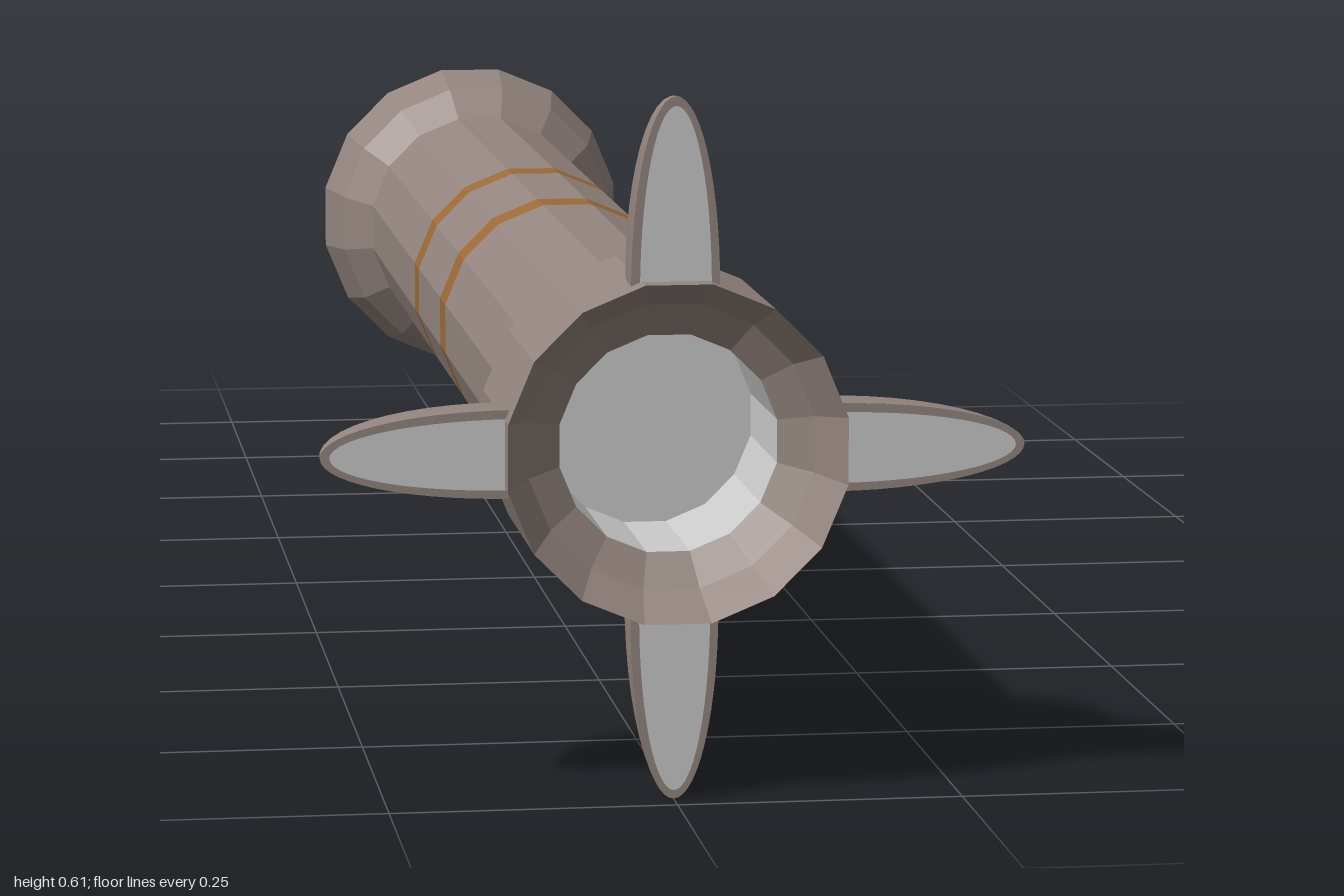
import * as THREE from 'three';

const AXIS_Y = 0.306; // height of the rocket's long axis
const SIDES = 16;

const brown = new THREE.MeshStandardMaterial({ color: 0x94857f, flatShading: true });
const brownSmooth = new THREE.MeshStandardMaterial({ color: 0x94857f });
const orange = new THREE.MeshStandardMaterial({ color: 0x9c6a36, flatShading: true });
const grey = new THREE.MeshStandardMaterial({ color: 0xcccccc, flatShading: true });

// Sixteen-sided turned part along z, from [radius, z] pairs
function turned(name, profile, material) {
  const points = profile.map(([r, z]) => new THREE.Vector2(r, z));
  const geometry = new THREE.LatheGeometry(points, SIDES, Math.PI / SIDES);
  geometry.rotateX(Math.PI / 2);
  const mesh = new THREE.Mesh(geometry, material);
  mesh.name = name;
  return mesh;
}

// Quarter-ellipsoid fin pointing up, with a flat trailing face
function makeFin(name) {
  const fin = new THREE.Group();
  fin.name = name;
  const base = 0.14, z = 0.977, width = 0.0385, height = 0.166, depth = 0.145;

  const shell = new THREE.SphereGeometry(1, 24, 12, Math.PI, Math.PI, 0, Math.PI / 2);
  shell.scale(width, height, depth).translate(0, base, z);
  const rim = new THREE.CircleGeometry(1, 28, 0, Math.PI);
  rim.scale(width, height, 1).translate(0, base, z);
  const face = new THREE.CircleGeometry(1, 28, 0, Math.PI);
  face.scale(0.031, 0.158, 1).translate(0, base, z + 0.002);

  const parts = [['finShell', shell, brownSmooth], ['finRim', rim, brown], ['finFace', face, grey]];
  for (const [partName, geometry, material] of parts) {
    const mesh = new THREE.Mesh(geometry, material);
    mesh.name = partName;
    fin.add(mesh);
  }
  return fin;
}

export function createModel() {
  const model = new THREE.Group();
  model.name = 'rocket';
  const R = 0.124;

  // Blunt nose, flared shoulder and front tube
  model.add(turned('noseAndFrontTube', [
    [0, -1], [0.049, -1], [0.17, -0.6], [0.154, -0.535], [R, -0.5], [R, -0.033],
  ], brown));

  // Painted bands and the tube between them
  model.add(turned('frontBand', [[R, -0.033], [R, 0.01]], orange));
  model.add(turned('middleTube', [[R, 0.01], [R, 0.217]], brown));
  model.add(turned('rearBand', [[R, 0.217], [R, 0.264]], orange));

  // Rear tube widening into the engine section, with a recessed rim
  model.add(turned('rearTubeAndEngine', [
    [R, 0.264], [R, 0.775], [0.15, 0.815], [0.15, 1], [0.127, 0.96], [0.097, 0.94],
  ], brown));

  // Exhaust bore
  model.add(turned('exhaustBore', [[0.097, 0.94], [0.097, 0.8], [0, 0.8]], grey));

  // Four fins around the engine
  ['topFin', 'rightFin', 'bottomFin', 'leftFin'].forEach((name, i) => {
    const fin = makeFin(name);
    fin.rotation.z = i * Math.PI / 2;
    model.add(fin);
  });
  // Turning anticlockwise from the top reaches -x first, the model's right

  model.position.y = AXIS_Y;
  const root = new THREE.Group();
  root.name = 'model';
  root.add(model);
  return root;
}
